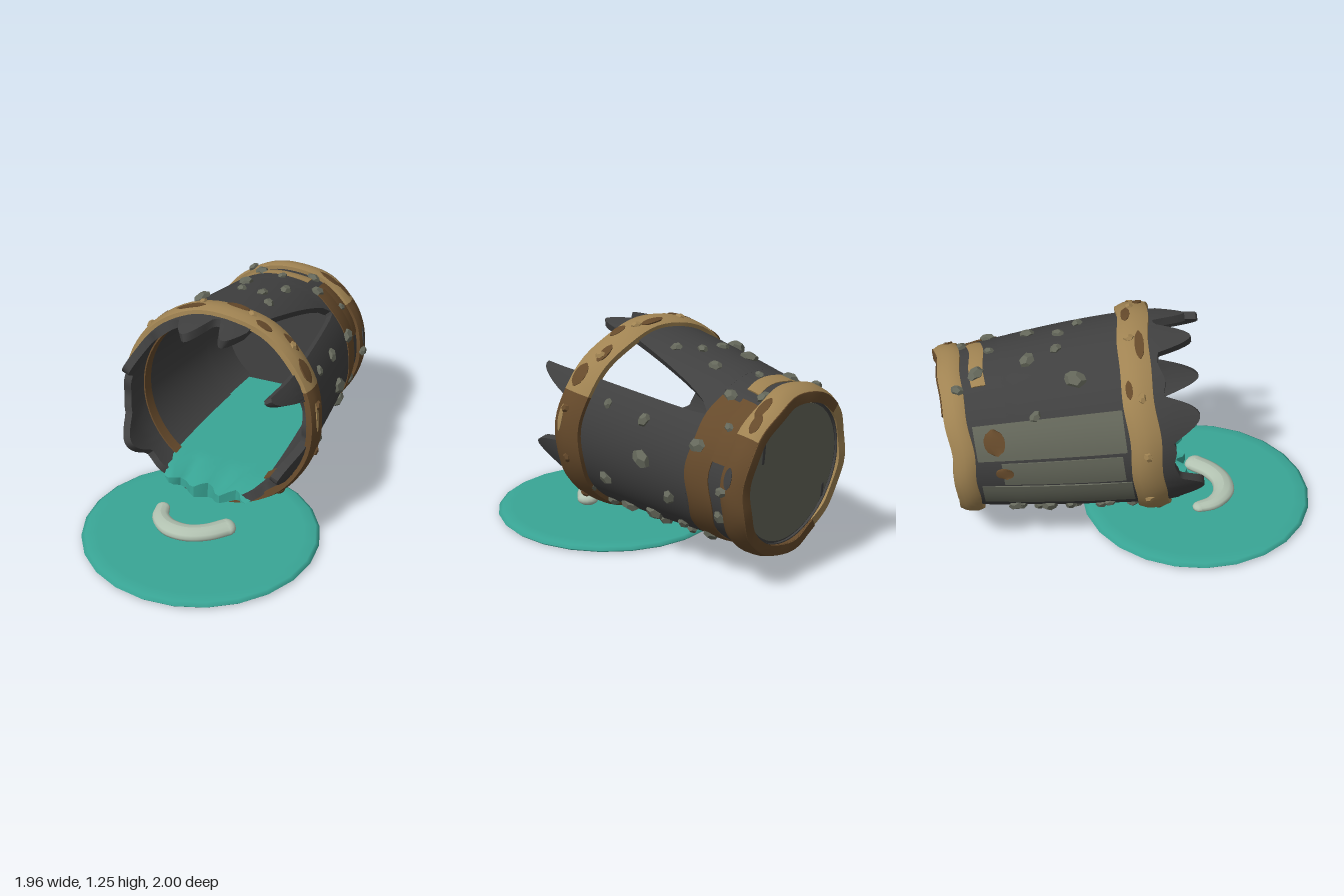
import * as THREE from 'three';
import { toCreasedNormals } from 'three/addons/utils/BufferGeometryUtils.js';

const mat = (name, color) => new THREE.MeshStandardMaterial({ name, color });
const DEG = Math.PI / 180;
const lerp = THREE.MathUtils.lerp;

// Barrel radius along its axis: hoop of the mouth at z = 0, back end at z = -1.1
function radius(z) {
  if (z > 0) return 0.535 - 0.13 * Math.max(0, z - 0.1);
  const t = -z / 1.1;
  return 0.535 - 0.07 * t - 0.04 * t * t;
}

// Point on the barrel; the mouth is a little wide, and both ends are slightly skewed
function place(angle, r, z) {
  const front = 1 + Math.max(-1.1, Math.min(0, z)) / 1.1;
  const x = r * Math.cos(angle * DEG) * (1 + 0.045 * front);
  const y = r * Math.sin(angle * DEG);
  return [x, y, z + x * lerp(-0.07, 0.08, front) - 0.05 * y * front];
}

// Box whose vertices are moved by rule(u, v, w), each running from 0 to 1
function bent(nx, nz, rule) {
  const g = new THREE.BoxGeometry(1, 1, 1, nx, 1, nz);
  const p = g.attributes.position;
  for (let i = 0; i < p.count; i++) {
    p.setXYZ(i, ...rule(p.getX(i) + 0.5, p.getY(i) + 0.5, p.getZ(i) + 0.5));
  }
  return toCreasedNormals(g, 0.75);
}

// Curved slab on the barrel between angles a0..a1 and z0..z1, rIn and rOut measured from the wall
function slab(a0, a1, z0, z1, rIn, rOut, { oval = false, wobble = 0 } = {}) {
  const n = Math.max(6, Math.ceil((a1 - a0) / 5));
  const mid = (z0 + z1) / 2;
  return bent(n, 4, (u, v, w) => {
    const a = lerp(a1, a0, u);
    const k = oval ? Math.sqrt(Math.max(0.02, 1 - (2 * u - 1) ** 2)) : 1;
    const wave = wobble * (Math.sin(a * DEG * 5) + Math.sin(a * DEG * 9 + 1));
    const soft = oval ? 1 : 1 - 0.4 * Math.abs(2 * w - 1) ** 4;
    const r = radius(lerp(z0, z1, w)) + (v ? rOut * soft : rIn);
    return place(a, r, mid + (w - 0.5) * (z1 - z0) * k + wave);
  });
}

export function createModel() {
  const wood = mat('dark wood', 0x404040);
  const tan = mat('tan metal', 0xa08352);
  const rust = mat('rust brown', 0x664a2b);
  const moss = mat('grey green', 0x65685b);
  const teal = mat('teal water', 0x39a696);
  const pale = mat('pale slug', 0xb2c2b1);

  const model = new THREE.Group();
  model.name = 'brokenBarrel';
  const barrel = new THREE.Group();
  barrel.name = 'barrel';
  barrel.position.set(-0.1, 0.68, 0.1);
  barrel.rotation.set(-0.08, -42 * DEG, 0, 'YXZ');
  model.add(barrel);

  const add = (parent, name, geometry, material) => {
    const m = new THREE.Mesh(geometry, material);
    m.name = name;
    parent.add(m);
    return m;
  };

  // Blunt splintered stave ends: angle, tip, half width
  const teeth = [
    [33, 0.36, 14], [-22, 0.33, 14], [154, 0.31, 14], [209, 0.29, 14],
    [103, 0.31, 11], [79, 0.29, 9], [-62, 0.16, 9], [-100, 0.14, 8],
  ];
  const rim = (a) => {
    const base = 0.105 - 0.05 * Math.cos(a * DEG) + 0.01 * Math.sin(a * 0.3);
    return teeth.reduce((best, [c, tip, half]) => {
      const d = Math.abs(((a - c + 540) % 360) - 180) / half;
      return d < 1 ? Math.max(best, lerp(tip, base, d ** 1.8)) : best;
    }, base);
  };

  // Wall: closed ring at the back, then a ring with a long gap that widens to the mouth
  add(barrel, 'rearWall', slab(0, 360, -1.08, -0.74, -0.04, 0), wood);
  add(barrel, 'frontWall', bent(150, 14, (u, v, w) => {
    const open = Math.min(1, w * 1.15) ** 0.6;
    const a = lerp(lerp(402, 395, open), lerp(43, 71, open), u);
    const z = lerp(-0.75, rim(lerp(395, 71, u)), w);
    return place(a, radius(z) - (v ? 0 : 0.045), z);
  }), wood);

  // Bottom of the barrel, set square to the skewed back end
  const end = new THREE.Group();
  end.name = 'barrelEnd';
  end.position.z = -1.045;
  end.rotation.y = 0.07;
  barrel.add(end);
  const disc = (name, r, depth, z, material) => {
    const g = new THREE.CylinderGeometry(r, r, depth, 40);
    g.rotateX(Math.PI / 2);
    add(end, name, g, material).position.z = z;
  };
  disc('endBoard', 0.41, 0.04, 0, wood);
  disc('endPanel', 0.378, 0.008, -0.022, moss);
  for (const [x, y, h] of [[0.27, 0.2, 0.13], [-0.3, -0.19, 0.06]]) {
    add(end, 'endDrip', new THREE.CapsuleGeometry(0.012, h, 3, 8).scale(1, 1, 0.2), wood)
      .position.set(x, y, -0.026);
  }

  // Hoops, tan above and rusty below
  const hoop = (name, z0, z1, rIn, rOut, split) => {
    add(barrel, name, slab(split, 238, z0, z1, rIn, rOut, { wobble: 0.005 }), tan);
    add(barrel, name, slab(238, 360 + split, z0, z1, rIn, rOut, { wobble: 0.005 }), rust);
  };
  hoop('mouthHoop', -0.085, 0.085, -0.01, 0.036, 24);
  hoop('rearHoop', -1.095, -0.97, -0.035, 0.036, 38);
  add(barrel, 'rearHoopFace', slab(-122, 135, -1.103, -1.094, -0.034, 0.024, { wobble: 0.005 }), rust);
  add(barrel, 'innerHoop', slab(74, 392, -0.085, -0.015, -0.053, -0.046), rust);
  add(barrel, 'paintedBand', slab(70, 118, -0.92, -0.84, 0, 0.009, { wobble: 0.006 }), tan);
  add(barrel, 'paintedBand', slab(-105, 58, -0.89, -0.75, 0, 0.009, { wobble: 0.008 }), rust);
  add(barrel, 'paintedBand', slab(16, 62, -0.98, -0.87, 0, 0.008), rust);

  // Worn blotches on the hoops
  const blotches = [
    [110, 0.035, 9, 0.05, rust], [84, -0.03, 7, 0.05, rust], [66, 0.035, 5, 0.05, rust],
    [50, -0.03, 6, 0.05, rust], [135, -0.045, 5, 0.04, rust], [34, 0.02, 7, 0.08, rust],
    [8, 0.04, 8, 0.03, tan], [-80, 0.03, 7, 0.04, wood], [60, -1.02, 9, 0.05, rust],
    [48, -1.04, 7, 0.05, rust], [10, -1.01, 7, 0.04, wood],
  ];
  for (const [a, z, da, h, material] of blotches) {
    add(barrel, 'wornBlotch', slab(a - da, a + da, z - h / 2, z + h / 2, 0.03, 0.038, { oval: true }), material);
  }

  // Faded staves on one side
  for (const [a0, a1, z0, z1] of [[145, 170, -0.95, -0.1], [172.5, 190, -0.82, -0.13], [192, 213, -0.95, -0.1]]) {
    add(barrel, 'fadedStave', slab(a0, a1, z0, z1, -0.005, 0.008), moss);
  }
  add(barrel, 'rustPatch', slab(176, 184, -0.86, -0.76, 0, 0.012, { oval: true }), rust);
  add(barrel, 'rustPatch', slab(148, 166, -0.9, -0.78, 0, 0.012, { oval: true }), rust);
  add(barrel, 'leak', slab(-113, -108, -0.4, -0.35, -0.005, 0.004, { oval: true }), teal);

  // Barnacles: angle, z, size
  let seed = 7;
  const rand = () => (seed = (seed * 16807) % 2147483647) / 2147483647;
  const lump = (name, a, z, size, lift, material) => {
    const g = new THREE.DodecahedronGeometry(size, 0);
    g.rotateZ(rand() * 6);
    g.scale(0.62, 0.8, 1.05);
    g.rotateX(rand() * 3);
    g.computeVertexNormals();
    const m = add(barrel, name, g, material);
    m.position.set(...place(a, radius(z) + lift, z));
    m.rotation.z = a * DEG;
  };
  const barnacles = [
    [24, -0.44, 0.04], [1, -0.48, 0.06], [-23, -0.23, 0.045], [-20, -0.64, 0.045], [22, -0.78, 0.05],
    [-56, -0.11, 0.04], [0, -0.98, 0.035], [-23, -0.94, 0.04], [60, -0.8, 0.045], [85, -0.41, 0.035],
    [124, -0.34, 0.06], [105, -0.595, 0.05], [108, -0.885, 0.05], [76, -0.58, 0.04], [76, -0.3, 0.035],
    [70, -0.95, 0.04], [143, -0.59, 0.035], [100, -0.43, 0.035], [120, -1.0, 0.035], [25, -0.2, 0.03],
    [88, -0.8, 0.03], [40, -0.9, 0.03], [225, -0.3, 0.035], [222, -0.75, 0.03],
  ];
  for (let i = 0; i < 26; i++) {
    barnacles.push([-40 - 18 * (i % 6) - 14 * rand(), -0.15 - 0.17 * Math.floor(i / 5) + 0.1 * rand(), 0.03 + 0.024 * rand()]);
  }
  for (const [a, z, s] of barnacles) lump('barnacle', a, z, s, z < -0.97 ? 0.036 : 0.004, moss);
  for (const a of [48, 14, -15, -48, 75, 105, 140, 172, 205, 240, 275]) {
    lump('hoopStud', a, 0.02 * Math.sin(a), 0.03, 0.034, a > 24 && a < 238 ? tan : rust);
  }

  // Water lying in the barrel, with a ragged lip drooping over the rim
  add(barrel, 'pooledWater', bent(16, 12, (u, v, w) => {
    const z = lerp(-0.98, 0.19 + 0.03 * Math.sin(u * 21), w);
    const r = radius(z) - (z > 0.1 ? 0.005 : 0.03);
    const level = -0.4 - 0.08 * z - 0.03 * Math.max(0, w - 0.85) / 0.15;
    const x = (2 * u - 1) * Math.sqrt(r * r - level * level);
    const ripple = w > 0.9 ? 0.015 * Math.sin(u * 17) : 0;
    const y = v ? level + ripple : Math.min(level, -Math.sqrt(r * r - x * x));
    return [x, y, z + (z > 0 ? 0.06 * x : 0)];
  }), teal);

  // Puddle on the ground
  const puddle = add(model, 'puddle', new THREE.LatheGeometry(
    [[0, 0.008], [0.6, 0.005], [0.655, 0.006], [0.667, 0.018], [0.645, 0.032], [0.58, 0.038], [0, 0.036]]
      .map(([x, y]) => new THREE.Vector2(x, y)), 24), teal);
  puddle.position.set(-0.305, -0.005, 0.34);

  // Curved slug lying over the puddle
  const path = new THREE.CatmullRomCurve3([
    [-0.475, 0.17], [-0.51, 0.25], [-0.495, 0.36], [-0.42, 0.44], [-0.31, 0.472], [-0.19, 0.462],
  ].map(([x, z]) => new THREE.Vector3(x, 0, z)));
  const slug = new THREE.Group();
  slug.name = 'slug';
  slug.position.y = 0.099;
  slug.scale.y = 0.6;
  model.add(slug);
  const tube = new THREE.TubeGeometry(path, 24, 0.062, 12);
  const p = tube.attributes.position;
  for (let i = 0; i < p.count; i++) {
    const t = Math.floor(i / 13) / 24;
    const c = path.getPointAt(t);
    const k = lerp(0.65, 1, Math.min(1, t * 2.5));
    p.setXYZ(i, c.x + (p.getX(i) - c.x) * k, p.getY(i) * k, c.z + (p.getZ(i) - c.z) * k);
  }
  tube.computeVertexNormals();
  add(slug, 'slugTail', new THREE.SphereGeometry(0.04, 12, 8), pale).position.copy(path.getPoint(0));
  add(slug, 'slugBody', tube, pale);
  const head = add(slug, 'slugHead', new THREE.SphereGeometry(0.062, 14, 10), pale);
  head.position.copy(path.getPoint(1));
  head.scale.x = 0.75;

  return model;
}
